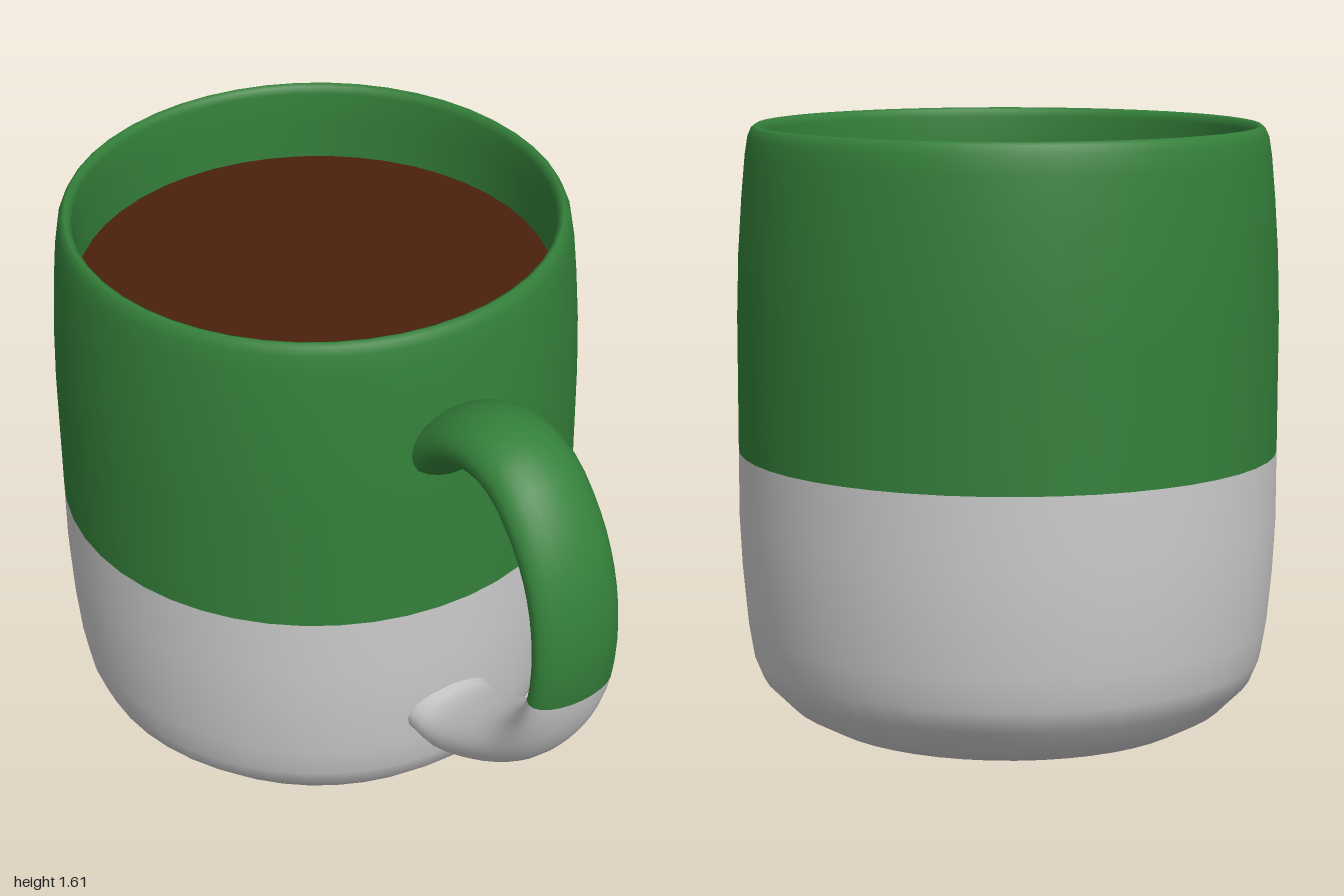
import * as THREE from 'three';

const GREEN = 0x34803a, GREY = 0xcccccc, BROWN = 0x4a210d;
const CUP_X = -0.28, HANDLE_Z = 0.045, HANDLE_HALF_WIDTH = 0.132;

function part(name, geometry, color) {
  const mesh = new THREE.Mesh(geometry, new THREE.MeshStandardMaterial({ color }));
  mesh.name = name;
  return mesh;
}

function lathe(points) {
  return new THREE.LatheGeometry(points.map(([r, y]) => new THREE.Vector2(r, y)), 48);
}

// Sweeps an ellipse along a path in the xy plane; each point is x, y, half thickness.
// Returns two geometries that share normals, split at one of the path points.
function sweptHandle(points, splitPoint) {
  const perSpan = 3, sides = 24;
  const curve = new THREE.CatmullRomCurve3(points.map((p) => new THREE.Vector3(...p)));
  const rings = (points.length - 1) * perSpan;
  const positions = [], index = [];
  for (let i = 0; i <= rings; i++) {
    const p = curve.getPoint(i / rings);
    const t = curve.getTangent(i / rings).setZ(0).normalize();
    for (let j = 0; j < sides; j++) {
      const a = (j / sides) * Math.PI * 2;
      const d = Math.cos(a) * p.z;
      positions.push(p.x + t.y * d, p.y - t.x * d, HANDLE_Z + Math.sin(a) * HANDLE_HALF_WIDTH);
      if (i === rings) continue;
      const k = (j + 1) % sides;
      const a0 = i * sides + j, b0 = i * sides + k;
      index.push(a0, a0 + sides, b0, b0, a0 + sides, b0 + sides);
    }
  }
  const whole = new THREE.BufferGeometry();
  whole.setAttribute('position', new THREE.Float32BufferAttribute(positions, 3));
  whole.setIndex(index);
  // Make the faces point away from the path
  whole.computeVertexNormals();
  if (whole.attributes.normal.getZ(sides / 4) < 0) {
    for (let i = 0; i < index.length; i += 3) [index[i], index[i + 1]] = [index[i + 1], index[i]];
    whole.setIndex(index);
    whole.computeVertexNormals();
  }
  const cut = splitPoint * perSpan * sides * 6;
  return [index.slice(0, cut), index.slice(cut)].map((faces) => whole.clone().setIndex(faces));
}

export function createModel() {
  const model = new THREE.Group();
  model.name = 'mug';

  // Cup: grey lower half, green upper half with rim and inner wall
  const cup = new THREE.Group();
  cup.name = 'cup';
  cup.position.x = CUP_X;
  const splitY = 0.745;
  cup.add(part('cupLower', lathe([
    [0, 0], [0.3, 0.002], [0.45, 0.007], [0.51, 0.017], [0.59, 0.06], [0.66, 0.13],
    [0.685, 0.19], [0.7, 0.28], [0.713, 0.42], [0.72, 0.56], [0.72, splitY],
  ]), GREY));
  cup.add(part('cupUpper', lathe([
    [0.72, splitY], [0.72, 1.1], [0.715, 1.27], [0.705, 1.42], [0.695, 1.53],
    [0.687, 1.58], [0.677, 1.602], [0.667, 1.61], [0.655, 1.604], [0.648, 1.585],
    [0.647, 1.5], [0.65, 1.36], [0.655, 1.1], [0.655, 0.5], [0.62, 0.2], [0.5, 0.1], [0, 0.09],
  ]), GREEN));

  // Drink surface
  const drink = part('drink', new THREE.CircleGeometry(0.65, 48), BROWN);
  drink.rotation.x = -Math.PI / 2;
  drink.position.y = 1.38;
  cup.add(drink);
  model.add(cup);

  // Handle: swept from its lower end to its upper end
  const handle = new THREE.Group();
  handle.name = 'handle';
  const [lower, upper] = sweptHandle([
    [0.39, 0.372, 0.08], [0.49, 0.372, 0.08], [0.615, 0.425, 0.077], [0.77, 0.527, 0.073],
    [0.867, 0.645, 0.065], [0.925, 0.785, 0.055], [0.938, 0.95, 0.057], [0.91, 1.11, 0.06],
    [0.845, 1.24, 0.067], [0.74, 1.345, 0.075], [0.625, 1.371, 0.08], [0.525, 1.345, 0.08],
    [0.435, 1.283, 0.08], [0.39, 1.24, 0.08],
  ], 5);
  handle.add(part('handleLower', lower, GREY), part('handleUpper', upper, GREEN));
  model.add(handle);

  return model;
}
